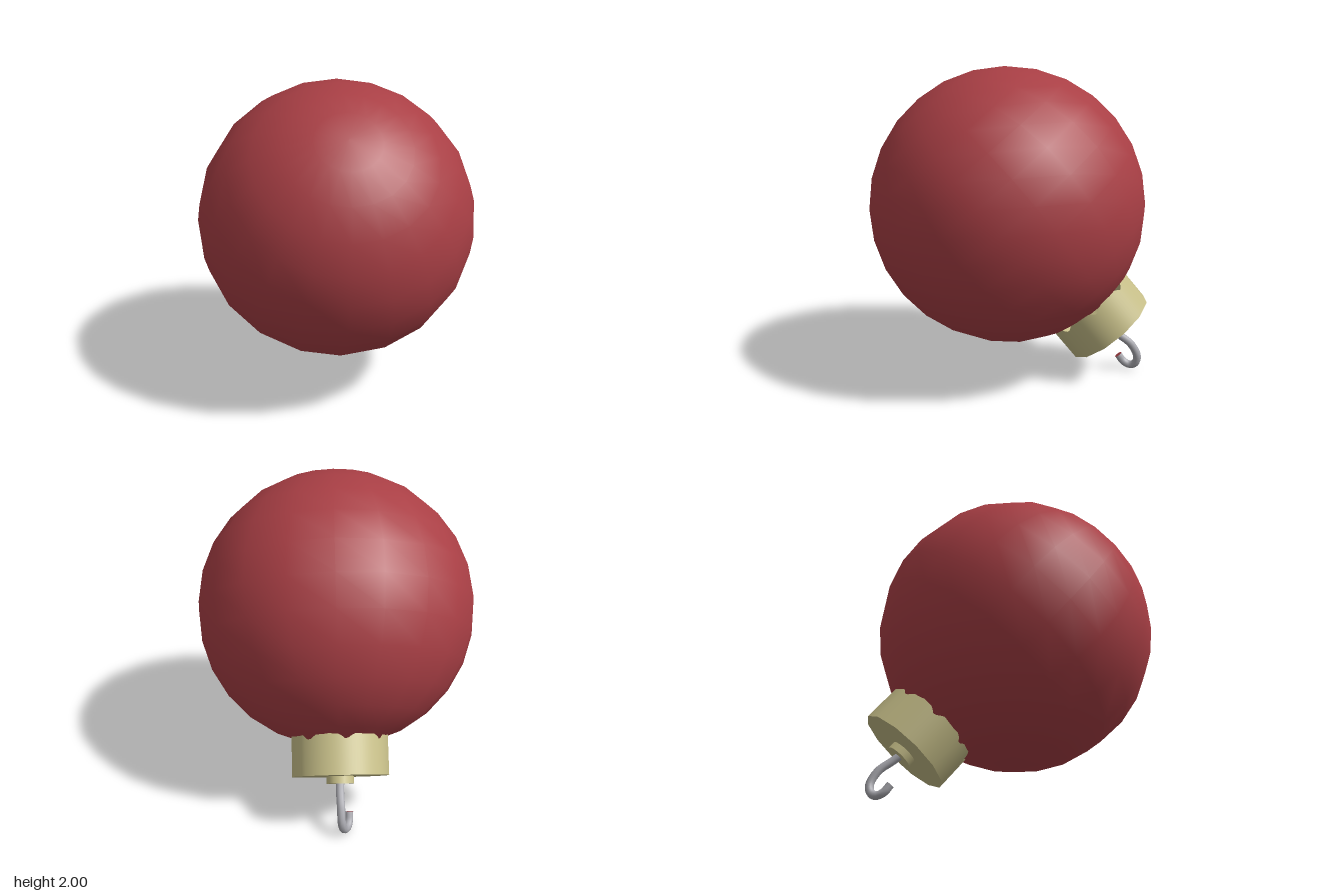
import * as THREE from 'three';

const material = (name, color, side = THREE.FrontSide) => {
  const m = new THREE.MeshStandardMaterial({ color, side });
  m.name = name;
  return m;
};

function add(parent, name, geometry, mat) {
  const mesh = new THREE.Mesh(geometry, mat);
  mesh.name = name;
  parent.add(mesh);
  return mesh;
}

// Open band: twelve-sided, with eight rounded scallops on its inner edge
function scallopedBand(radius, rimY) {
  const geo = new THREE.CylinderGeometry(radius, radius, 1, 96, 1, true);
  const pos = geo.attributes.position;
  const step = Math.PI / 6;
  for (let i = 0; i < pos.count; i++) {
    const a = Math.atan2(pos.getZ(i), pos.getX(i)) + Math.PI * 2;
    const r = radius * Math.cos(step / 2) / Math.cos((a % step) - step / 2);
    const lobe = Math.abs(Math.sin(4 * (a + 0.17))) ** 0.7;
    const y = pos.getY(i) > 0 ? rimY : rimY - 0.2 - 0.055 * lobe;
    pos.setXYZ(i, r * Math.cos(a), y, r * Math.sin(a));
  }
  return geo;
}

export function createModel() {
  const model = new THREE.Group();
  model.name = 'bauble';
  const red = material('red glass', 0xa93f45);
  const gold = material('pale gold', 0xc6be88, THREE.DoubleSide);
  const silver = material('silver wire', 0xaaaab0);

  // Tilted frame: local +y points out through the cap
  const axis = new THREE.Vector3(0.226, -0.769, -0.599).normalize();
  const across = new THREE.Vector3(1, 0, 0).addScaledVector(axis, -axis.x).normalize();
  const up = new THREE.Vector3().crossVectors(across, axis);
  const body = new THREE.Group();
  body.name = 'tiltedBody';
  body.quaternion.setFromRotationMatrix(new THREE.Matrix4().makeBasis(across, axis, up));
  body.position.y = 1.125;
  model.add(body);

  add(body, 'ball', new THREE.SphereGeometry(0.879, 20, 14), red);

  // Cap: scalloped band, flat end and small collar
  const rimY = 1.06;
  add(body, 'capBand', scallopedBand(0.305, rimY), gold);
  const end = add(body, 'capEnd', new THREE.CircleGeometry(0.305, 12), gold);
  end.rotation.x = -Math.PI / 2;
  end.position.y = rimY;
  add(body, 'collar', new THREE.CylinderGeometry(0.085, 0.085, 0.05, 16), gold)
    .position.y = rimY + 0.02;

  // Wire hook
  const path = new THREE.CatmullRomCurve3([
    [0.245, 0.29, -0.65], [0.265, 0.25, -0.695], [0.29, 0.185, -0.77], [0.302, 0.1, -0.812],
    [0.285, 0.045, -0.806], [0.255, 0.027, -0.782], [0.228, 0.045, -0.748], [0.213, 0.09, -0.717],
  ].map((p) => new THREE.Vector3(...p)));
  add(model, 'hook', new THREE.TubeGeometry(path, 28, 0.026, 10), silver);

  // Red tip closing the wire
  const tip = add(model, 'hookTip', new THREE.CircleGeometry(0.026, 10), red);
  tip.position.copy(path.getPoint(1));
  tip.quaternion.setFromUnitVectors(new THREE.Vector3(0, 0, 1), path.getTangent(1));

  return model;
}
